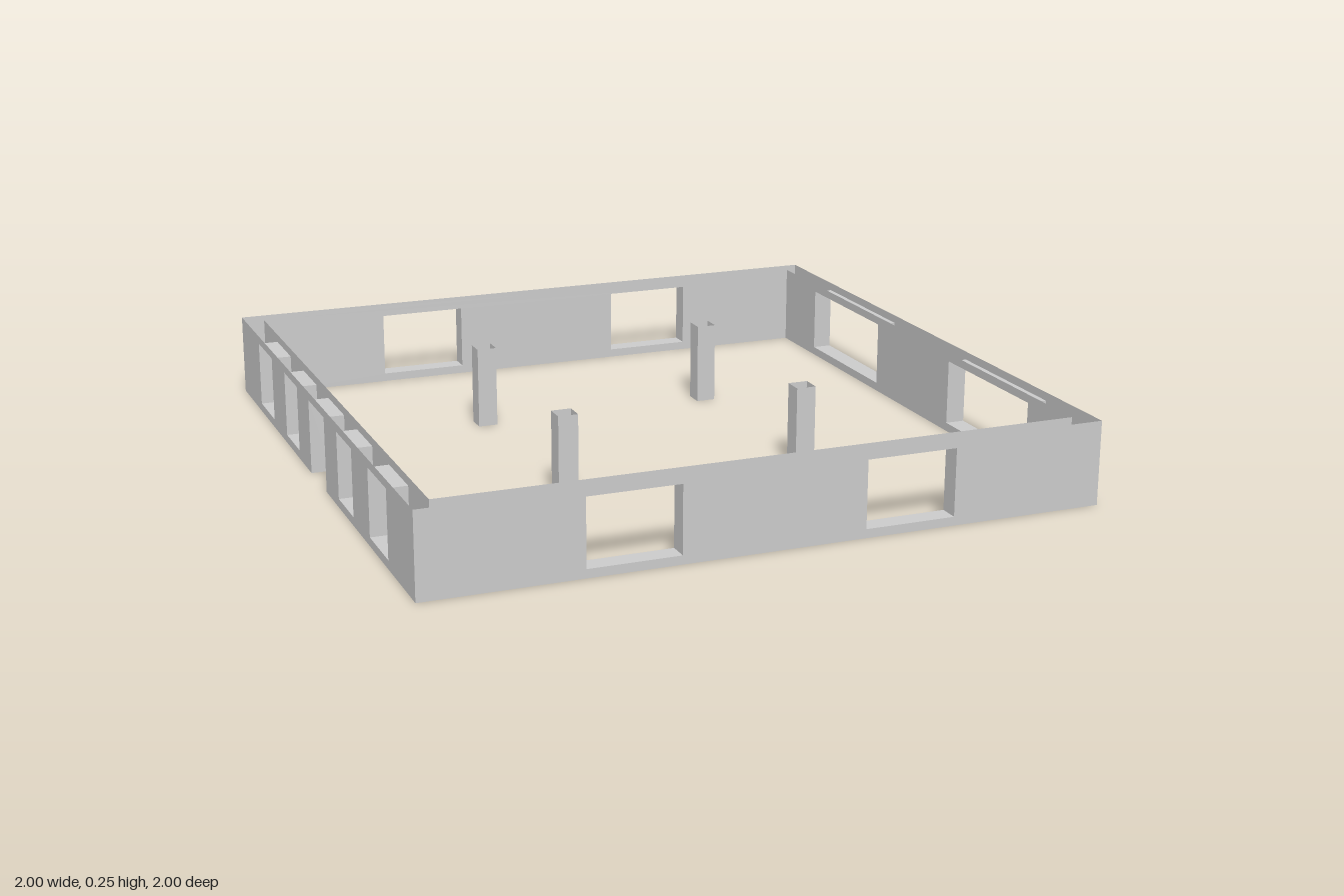
import * as THREE from 'three';

const HEIGHT = 0.25, SILL = 0.026, HEAD = 0.225;
const OUTER = 1, INNER = 0.94;

const material = new THREE.MeshStandardMaterial({
  color: 0xcccccc, flatShading: true, side: THREE.DoubleSide,
});

function addMesh(parent, name, geometry) {
  const mesh = new THREE.Mesh(geometry, material);
  mesh.name = name;
  parent.add(mesh);
  return mesh;
}

// Flat wall skin with window holes and an optional doorway cut from the bottom edge
function skinGeometry(half, windows, door) {
  const outline = [[-half, 0]];
  if (door) outline.push([door[0], 0], [door[0], HEAD], [door[1], HEAD], [door[1], 0]);
  outline.push([half, 0], [half, HEIGHT], [-half, HEIGHT]);
  const toPoints = (list) => list.map(([x, y]) => new THREE.Vector2(x, y));
  const shape = new THREE.Shape(toPoints(outline));
  for (const [a, b] of windows) {
    shape.holes.push(new THREE.Path(toPoints([[a, SILL], [a, HEAD], [b, HEAD], [b, SILL]])));
  }
  return new THREE.ShapeGeometry(shape);
}

// Ribbon joining the inner and outer skins along the edge of an opening
function revealGeometry(path) {
  const positions = [];
  for (let i = 0; i < path.length - 1; i++) {
    const [ax, ay] = path[i], [bx, by] = path[i + 1];
    positions.push(ax, ay, INNER, bx, by, INNER, bx, by, OUTER);
    positions.push(ax, ay, INNER, bx, by, OUTER, ax, ay, OUTER);
  }
  const geometry = new THREE.BufferGeometry();
  geometry.setAttribute('position', new THREE.Float32BufferAttribute(positions, 3));
  geometry.computeVertexNormals();
  return geometry;
}

// Hollow wall, open along its top and bottom edges
function createWall(name, angle, windows, door) {
  const wall = new THREE.Group();
  wall.name = name;
  addMesh(wall, 'outerSkin', skinGeometry(OUTER, windows, door)).position.z = OUTER;
  const inner = skinGeometry(INNER, windows, door);
  // Turn the inner skin to face the room
  const index = inner.index.array;
  for (let i = 0; i < index.length; i += 3) {
    [index[i], index[i + 2]] = [index[i + 2], index[i]];
  }
  inner.computeVertexNormals();
  addMesh(wall, 'innerSkin', inner).position.z = INNER;
  for (const [a, b] of windows) {
    addMesh(wall, 'windowReveal',
      revealGeometry([[a, SILL], [a, HEAD], [b, HEAD], [b, SILL], [a, SILL]]));
  }
  if (door) {
    const [a, b] = door;
    addMesh(wall, 'doorReveal', revealGeometry([[a, 0], [a, HEAD], [b, HEAD], [b, 0]]));
  }
  wall.rotation.y = angle;
  return wall;
}

export function createModel() {
  const model = new THREE.Group();
  model.name = 'walledRoom';

  // Four walls; each is laid out facing +z and turned into place
  const pair = [[-0.54, -0.27], [0.27, 0.54]];
  const widePair = [[-0.705, -0.235], [0.237, 0.708]];
  const row = [[-0.753, -0.57], [-0.4, -0.237], [0.233, 0.395], [0.566, 0.75]];
  model.add(
    createWall('frontWall', 0, pair),
    createWall('backWall', Math.PI, pair),
    createWall('leftWall', Math.PI / 2, widePair),
    createWall('rightWall', -Math.PI / 2, row, [-0.092, 0.09]),
  );

  // Four square hollow columns
  const radius = 0.03 * Math.SQRT2;
  const columnGeometry = new THREE.CylinderGeometry(radius, radius, HEIGHT, 4, 1, true)
    .rotateY(Math.PI / 4);
  for (const x of [-1, 1]) {
    for (const z of [-1, 1]) {
      addMesh(model, 'column', columnGeometry).position.set(x * 0.372, HEIGHT / 2, z * 0.372);
    }
  }
  return model;
}
